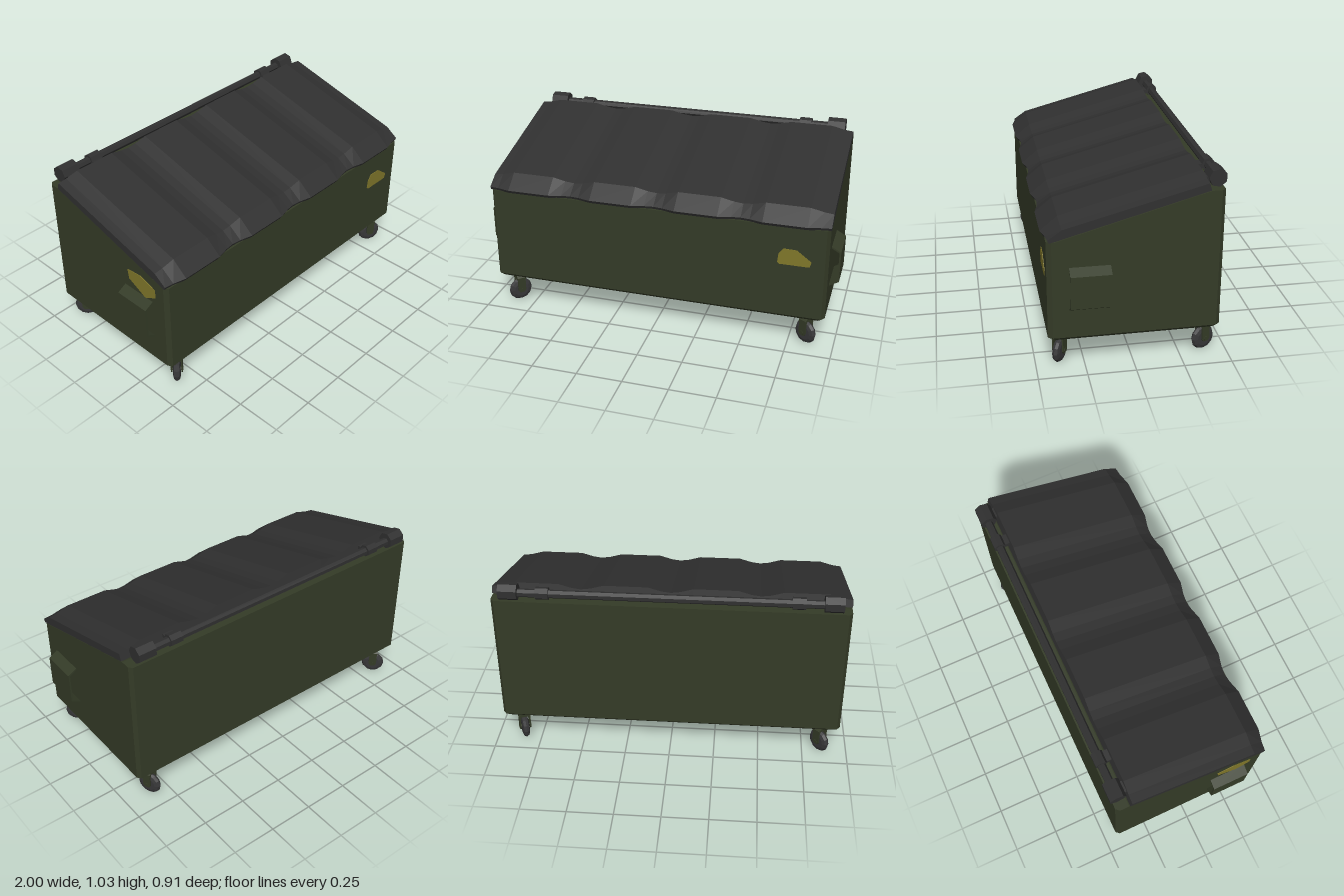
import * as THREE from 'three';

const mat = (name, color, opts = {}) => new THREE.MeshStandardMaterial({ name, color, flatShading: true, ...opts });

// Flat-shaded geometry from a list of polygons (arrays of [x,y,z], counter-clockwise from outside)
function polys(list) {
  const pos = [];
  for (const p of list)
    for (let i = 1; i < p.length - 1; i++) pos.push(...p[0], ...p[i], ...p[i + 1]);
  const g = new THREE.BufferGeometry();
  g.setAttribute('position', new THREE.Float32BufferAttribute(pos, 3));
  g.computeVertexNormals();
  return g;
}

function extrude(points, depth) {
  const shape = new THREE.Shape(points.map(([x, y]) => new THREE.Vector2(x, y)));
  return new THREE.ExtrudeGeometry(shape, { depth, bevelEnabled: false }).translate(0, 0, -depth / 2);
}

// Bin: chamfered footprint, bevelled floor, top sloping down to the front
function bodyGeometry() {
  const rows = [[0.44, 0.93], [0.415, 0.947], [0.4, 0.947], [-0.37, 0.947], [-0.42, 0.947], [-0.44, 0.93]];
  const foot = [...rows, ...rows.map(([z, x]) => [z, -x]).reverse()];
  const topY = z => 0.72 + 0.215 * THREE.MathUtils.clamp((0.4 - z) / 0.77, 0, 1);
  const rings = [
    foot.map(([z, x]) => [x - Math.sign(x) * 0.018, 0.175, z * 0.958]),
    foot.map(([z, x]) => [x, 0.194, z]),
    foot.map(([z, x]) => [x, topY(z), z]),
  ];
  const n = foot.length, list = [];
  for (let r = 0; r < 2; r++)
    for (let i = 0; i < n; i++) {
      const j = (i + 1) % n;
      list.push([rings[r][i], rings[r][j], rings[r + 1][j], rings[r + 1][i]]);
    }
  list.push([...rings[0]].reverse());
  for (let i = 0; i < rows.length - 1; i++)
    list.push([rings[2][i], rings[2][i + 1], rings[2][n - 2 - i], rings[2][n - 1 - i]]);
  return polys(list);
}

// Lid: four raised panels separated by shallow valleys
function lidGeometry() {
  const stations = [];
  const panel = [[0, 1], [0.05, 0.75], [0.12, 0], [0.355, 0], [0.425, 0.75]];
  for (let k = 0; k < 4; k++)
    for (const [dx, dip] of panel) stations.push([-0.95 + k * 0.475 + dx, dip]);
  stations.push([0.95, 1]);
  const sections = stations.map(([x, d]) => [
    [x, 0.735, 0.458 - 0.024 * d],
    [x, 0.808 - 0.024 * d, 0.37 - 0.006 * d],
    [x, 1.0 - 0.024 * d, -0.348 - 0.006 * d],
    [x, 0.938, -0.365],
    [x, 0.718, 0.448 - 0.022 * d],
  ]);
  const list = [];
  for (let i = 0; i < sections.length - 1; i++)
    for (let k = 0; k < 5; k++) {
      const m = (k + 1) % 5, a = sections[i], b = sections[i + 1];
      list.push([a[k], b[k], b[m], a[m]]);
    }
  list.push(sections[0], [...sections[sections.length - 1]].reverse());
  return polys(list);
}

export function createModel() {
  const green = mat('dark green paint', 0x343b27);
  const black = mat('black plastic', 0x303030);
  const rubber = mat('wheel rubber', 0x373738);
  const yellow = mat('yellow sticker', 0x80772a);

  const model = new THREE.Group();
  model.name = 'wheeledDumpster';
  const add = (parent, name, geo, material, x = 0, y = 0, z = 0) => {
    const m = new THREE.Mesh(geo, material);
    m.name = name;
    m.position.set(x, y, z);
    parent.add(m);
    return m;
  };

  add(model, 'body', bodyGeometry(), green);
  add(model, 'lid', lidGeometry(), black);

  // Hinge rod with end hubs and strap hinges
  const bar = (r, len, sides) => new THREE.CylinderGeometry(r, r, len, sides).rotateZ(Math.PI / 2);
  add(model, 'hingeRod', bar(0.023, 1.8, 7), black, 0, 0.975, -0.412);
  for (const s of [-1, 1]) {
    add(model, 'hingeHub', bar(0.047, 0.1, 7), black, s * 0.85, 0.98, -0.41);
    add(model, 'hingeCollar', bar(0.034, 0.07, 7), black, s * 0.67, 0.977, -0.412);
    for (const x of [0.67, 0.85])
      add(model, 'hingeStrap', new THREE.BoxGeometry(0.06, 0.025, 0.07), black, s * x, 0.968, -0.37);
  }

  // Side handles: thin bent strips
  const strip = [[0.945, 0.582], [0.998, 0.552], [0.998, 0.377], [0.945, 0.345],
    [0.945, 0.355], [0.989, 0.382], [0.989, 0.547], [0.945, 0.572]];
  for (const s of [-1, 1]) {
    const h = add(model, 'sideHandle', extrude(strip, 0.206), green, 0, 0, s * 0.228);
    if (s < 0) h.rotation.y = Math.PI;
    h.position.z = 0.228;
  }

  // Stickers
  add(model, 'frontSticker', extrude([[0.68, 0.51], [0.69, 0.5], [0.85, 0.5], [0.86, 0.53], [0.82, 0.56],
    [0.78, 0.59], [0.71, 0.592], [0.685, 0.56]], 0.004), yellow, 0, 0, 0.441);
  add(model, 'sideSticker', extrude([[0.28, 0.58], [0.355, 0.62], [0.355, 0.67], [0.25, 0.705],
    [0.155, 0.695], [0.163, 0.64]], 0.004), yellow, -0.948).rotation.y = -Math.PI / 2;

  // Swivel casters, each turned differently
  const tyre = new THREE.LatheGeometry([[0, -0.02], [0.042, -0.02], [0.06, -0.014], [0.068, 0],
    [0.06, 0.014], [0.042, 0.02], [0, 0.02]].map(([r, y]) => new THREE.Vector2(r, y)), 12).rotateZ(Math.PI / 2);
  const bridge = extrude([[-0.033, 0.135], [-0.025, 0.135], [-0.02, 0.145], [0.02, 0.145], [0.025, 0.135],
    [0.033, 0.135], [0.033, 0.15], [0.015, 0.168], [-0.015, 0.168], [-0.033, 0.15]], 0.05);
  const plate = extrude([[-0.023, 0.07], [-0.014, 0.056], [0.014, 0.056], [0.023, 0.07],
    [0.023, 0.145], [-0.023, 0.145]], 0.008).rotateY(Math.PI / 2);
  const casters = [[0.845, 0.373, 58], [-0.845, 0.373, -45], [0.845, -0.38, 22], [-0.845, -0.38, 42]];
  for (const [x, z, yaw] of casters) {
    const c = new THREE.Group();
    c.name = 'caster';
    c.position.set(x, 0, z);
    c.rotation.y = THREE.MathUtils.degToRad(yaw);
    model.add(c);
    add(c, 'wheel', tyre, rubber, 0, 0.068, 0);
    add(c, 'axle', bar(0.012, 0.07, 6), green, 0, 0.072, 0);
    add(c, 'forkBridge', bridge, green);
    for (const s of [-1, 1]) add(c, 'forkPlate', plate, green, s * 0.028);
    add(c, 'swivelStem', new THREE.CylinderGeometry(0.016, 0.016, 0.03, 8), green, 0, 0.17, 0);
  }
  return model;
}
